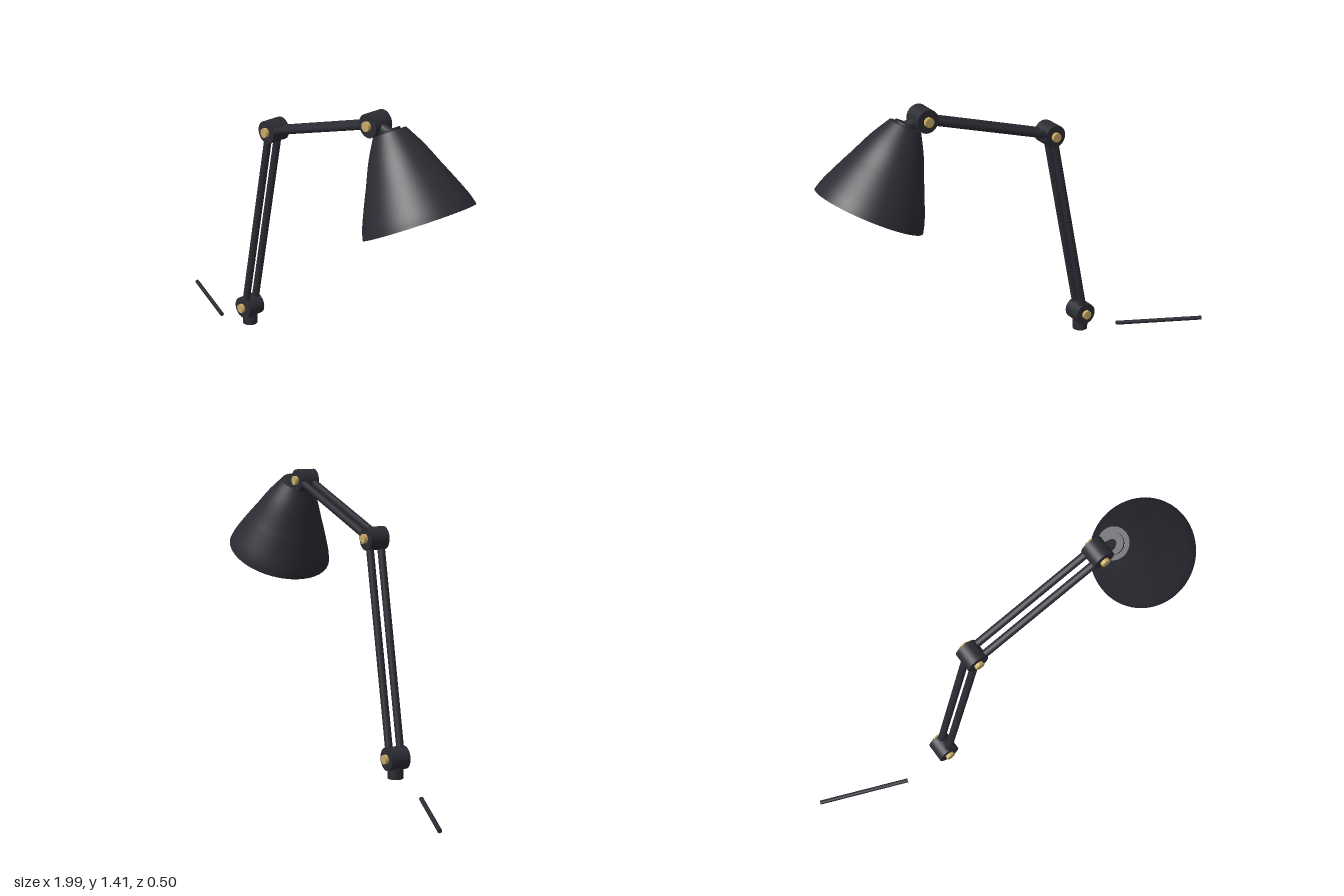
import * as THREE from 'three';

const mat = (name, color) => {
  const m = new THREE.MeshStandardMaterial({ color });
  m.name = name;
  return m;
};

export function createModel() {
  const lamp = new THREE.Group();
  lamp.name = 'armLamp';
  const charcoal = mat('charcoal metal', 0x2b2b33);
  const brass = mat('brass', 0xc8aa66);
  const cream = mat('cream glass', 0xeadbbd);
  const V = (x, y, z = 0) => new THREE.Vector3(x, y, z);
  const UP = V(0, 1, 0);

  const add = (parent, name, geometry, material) => {
    const mesh = new THREE.Mesh(geometry, material);
    mesh.name = name;
    parent.add(mesh);
    return mesh;
  };
  // Cylinder running from point a to point b
  const rod = (parent, name, a, b, radius, material, sides = 24) => {
    const dir = b.clone().sub(a);
    const mesh = add(parent, name, new THREE.CylinderGeometry(radius, radius, dir.length(), sides), material);
    mesh.position.copy(a).add(b).multiplyScalar(0.5);
    mesh.quaternion.setFromUnitVectors(UP, dir.normalize());
    return mesh;
  };

  const base = V(-0.365, 0.172), elbow = V(-0.175, 1.142), wrist = V(0.492, 1.365);

  // Mounting post and loose power cord
  rod(lamp, 'mountingPost', V(-0.365, 0.08), base, 0.036, charcoal);
  rod(lamp, 'powerCord', V(-0.997, 0.013, -0.163), V(-0.587, 0.035, 0), 0.01, charcoal, 12);

  // Pivot barrels with a brass pin through each
  for (const [name, p] of [['base', base], ['elbow', elbow], ['wrist', wrist]]) {
    const joint = new THREE.Group();
    joint.name = name + 'Joint';
    joint.position.copy(p);
    rod(joint, 'barrel', V(0, 0, -0.047), V(0, 0, 0.047), 0.053, charcoal, 32);
    rod(joint, 'pin', V(0, 0, -0.063), V(0, 0, 0.063), 0.022, brass, 12);
    lamp.add(joint);
  }

  // Paired arm rods
  for (const [name, a, b] of [['lowerArm', base, elbow], ['upperArm', elbow, wrist]]) {
    for (const z of [-0.029, 0.029]) {
      const offset = V(0, 0, z);
      rod(lamp, name, a.clone().add(offset), b.clone().add(offset), 0.0175, charcoal, 16);
    }
  }

  // Lamp head: origin at the rim centre, local y along the shade axis
  const head = new THREE.Group();
  head.name = 'lampHead';
  head.position.set(0.77, 1.0, 0);
  head.rotation.z = 0.5;
  lamp.add(head);

  // Bell shade: outside going up, inside coming back down
  const curve = new THREE.SplineCurve(
    [[0.252, 0], [0.236, 0.055], [0.191, 0.16], [0.168, 0.21], [0.124, 0.31], [0.074, 0.4]]
      .map(([r, y]) => new THREE.Vector2(r, y)));
  const outer = curve.getPoints(24);
  const inner = outer.map((p) => new THREE.Vector2(p.x - 0.008, p.y)).reverse();
  add(head, 'shadeOutside', new THREE.LatheGeometry(outer, 64), charcoal);
  add(head, 'shadeInside', new THREE.LatheGeometry(inner, 64), charcoal);
  add(head, 'shadeRim', new THREE.LatheGeometry([inner[inner.length - 1], outer[0]], 64), charcoal);
  rod(head, 'shadeCap', V(0, 0.392, 0), V(0, 0.402, 0), 0.074, charcoal, 32);
  rod(head, 'collar', V(0, 0.36, 0), V(0, 0.412, 0), 0.05, charcoal, 32);

  // Socket and bulb
  rod(head, 'socket', V(0, 0.2, 0), V(0, 0.38, 0), 0.042, brass);
  add(head, 'bulb', new THREE.SphereGeometry(0.082, 32, 24), cream).position.y = 0.11;
  add(head, 'bulbNeck', new THREE.CylinderGeometry(0.036, 0.05, 0.07, 24), cream).position.y = 0.195;

  // Stem from the wrist joint into the shade
  rod(lamp, 'shadeStem', wrist, V(0.6, 1.343), 0.024, charcoal, 16);

  return lamp;
}
